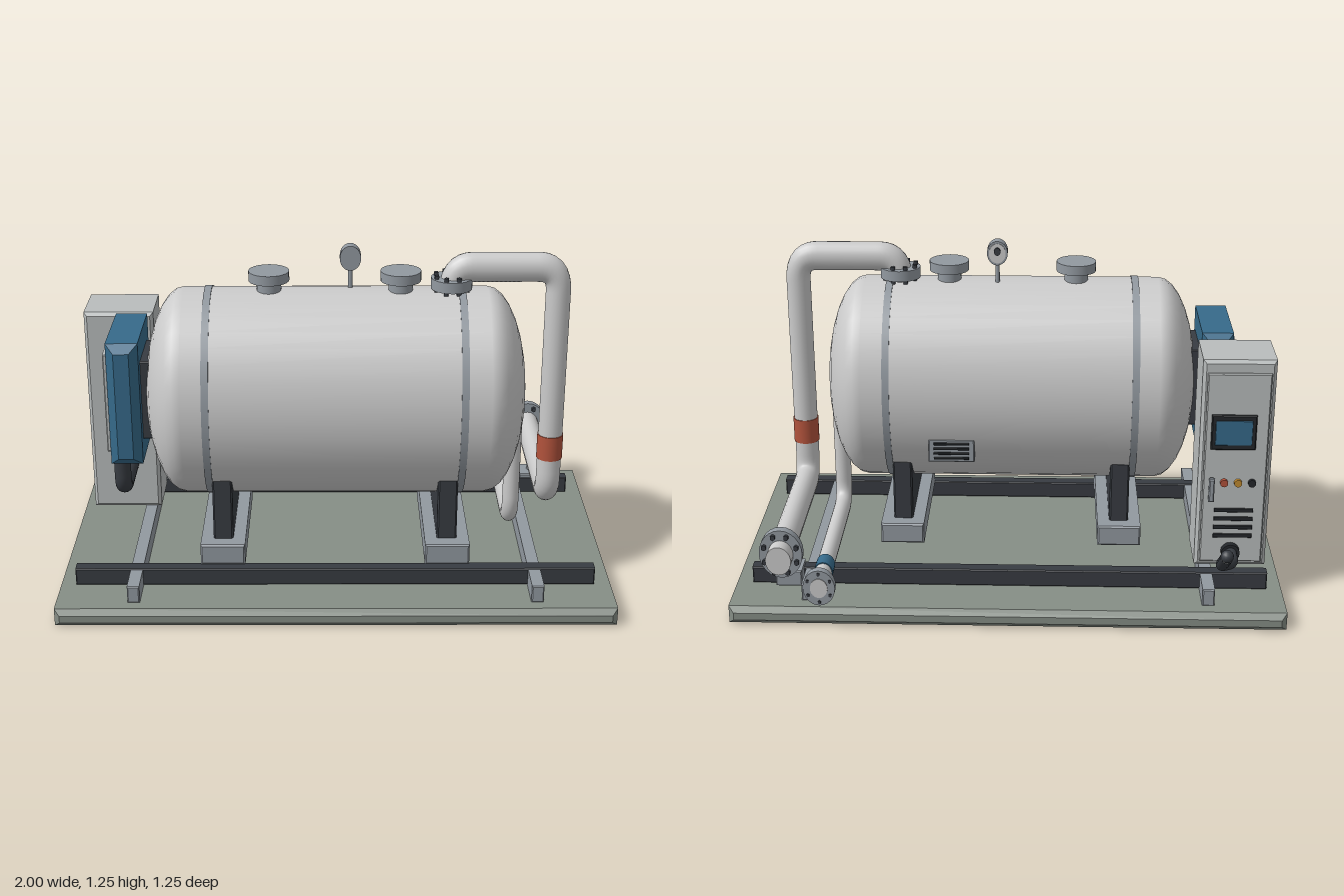
import * as THREE from 'three';

const mat = (color) => new THREE.MeshStandardMaterial({ color });
const M = {
  shell: mat(0xcccccc), steel: mat(0x9299a0), dark: mat(0x383c42), slab: mat(0x868e86),
  cabinet: mat(0xb9bdbd), blue: mat(0x366a8a), orange: mat(0xb2533c), amber: mat(0xc08a30), black: mat(0x24272b),
};
const K = 1.2;            // vertical stretch shared by all round fittings
const TZ = 0.115, TY = 0.7075, RY = 0.3875, RZ = 0.315; // tank axis and radii

export function createModel() {
  const root = new THREE.Group();

  const add = (name, geo, material, x = 0, y = 0, z = 0, parent = root) => {
    const mesh = new THREE.Mesh(geo, material);
    mesh.name = name;
    mesh.position.set(x, y, z);
    parent.add(mesh);
    return mesh;
  };

  // Chamfered box given by its limits
  const box = (name, material, x0, x1, y0, y1, z0, z1, b = 0.004) => {
    const w = (x1 - x0) / 2 - b, h = (y1 - y0) / 2 - b, d = z1 - z0 - 2 * b;
    const s = new THREE.Shape([[-w, -h], [w, -h], [w, h], [-w, h]].map((p) => new THREE.Vector2(...p)));
    const geo = new THREE.ExtrudeGeometry(s, { depth: d, bevelSize: b, bevelThickness: b, bevelSegments: 1 });
    geo.translate(0, 0, -d / 2);
    return add(name, geo, material, (x0 + x1) / 2, (y0 + y1) / 2, (z0 + z1) / 2);
  };

  // Cylinder along an axis, stretched vertically unless k = 1
  const rod = (name, material, r, len, axis, x, y, z, k = K, sides = 24) => {
    const geo = new THREE.CylinderGeometry(r, r, len, sides);
    if (axis === 'x') geo.rotateZ(Math.PI / 2);
    if (axis === 'z') geo.rotateX(Math.PI / 2);
    if (axis !== 'y') geo.scale(1, k, 1);
    return add(name, geo, material, x, y, z);
  };

  // Tube through corner points with rounded bends
  const pipe = (name, material, pts, r, bend, k = K) => {
    const v = pts.map(([x, y, z]) => new THREE.Vector3(x, y / k, z));
    const path = new THREE.CurvePath();
    let from = v[0];
    for (let i = 1; i < v.length - 1; i++) {
      const a = v[i].clone().add(v[i - 1].clone().sub(v[i]).setLength(bend));
      const b = v[i].clone().add(v[i + 1].clone().sub(v[i]).setLength(bend));
      path.add(new THREE.LineCurve3(from, a));
      path.add(new THREE.QuadraticBezierCurve3(a, v[i], b));
      from = b;
    }
    path.add(new THREE.LineCurve3(from, v[v.length - 1]));
    return add(name, new THREE.TubeGeometry(path, 120, r, 20).scale(1, k, 1), material);
  };

  // Flange disc with a ring of bolts
  const flange = (name, r, len, axis, x, y, z, boltR, boltLen, n = 8) => {
    rod(name, M.steel, r, len, axis, x, y, z);
    for (let i = 0; i < n; i++) {
      const a = ((i + 0.5) / n) * Math.PI * 2, u = Math.cos(a) * r * 0.8, w = Math.sin(a) * r * 0.8;
      if (axis === 'y') rod(name + 'Bolt', M.dark, boltR, boltLen, 'y', x + u, y, z + w, 1, 6);
      else rod(name + 'Bolt', M.dark, boltR, boltLen, 'z', x + u, y + w * K, z, K, 6);
    }
  };

  // Slab and skid frame
  box('baseSlab', M.slab, -1, 1, 0, 0.067, -0.568, 0.62, 0.02);
  for (const z of [0.41, -0.355]) box('longRail', M.dark, -0.945, 0.94, 0.07, 0.135, z - 0.025, z + 0.025);
  for (const x of [-0.722, 0.719]) box('crossRail', M.steel, x - 0.022, x + 0.022, 0.067, 0.132, -0.505, 0.56);

  // Saddles
  for (const x of [-0.411, 0.405]) {
    box('saddleFoot', M.steel, x - 0.081, x + 0.081, 0.134, 0.213, -0.17, 0.4, 0.006);
    box('saddleColumn', M.dark, x - 0.036, x + 0.036, 0.2, 0.45, -0.115, 0.345, 0.006);
  }

  // Tank with domed ends
  const profile = [];
  for (const s of [-1, 1]) {
    for (let i = 0; i <= 8; i++) {
      const a = ((s < 0 ? i : 8 - i) / 8) * Math.PI / 2;
      profile.push(new THREE.Vector2(Math.max(Math.sin(a), 1e-4), s * (0.545 + 0.146 * Math.cos(a))));
    }
  }
  const across = (geo) => geo.rotateZ(-Math.PI / 2).scale(1, RY, RZ);
  add('tank', across(new THREE.LatheGeometry(profile, 36)), M.shell, 0, TY, TZ);
  for (const x of [-0.457, 0.451]) {
    add('tankStrap', across(new THREE.CylinderGeometry(1.01, 1.01, 0.026, 36)), M.steel, x, TY, TZ);
  }

  // Vent plate on the back of the tank
  box('tankPlate', M.steel, 0.13, 0.3, 0.475, 0.565, -0.178, -0.13);
  for (let i = 0; i < 4; i++) box('plateSlot', M.black, 0.15, 0.28, 0.488 + i * 0.019, 0.496 + i * 0.019, -0.185, -0.175, 0.001);

  // Manholes
  for (const x of [-0.239, 0.232]) {
    rod('manholeNeck', M.steel, 0.044, 0.08, 'y', x, 1.1, TZ);
    rod('manholeLid', M.steel, 0.073, 0.036, 'y', x, 1.147, TZ);
  }

  // Pressure gauge
  rod('gaugeStem', M.steel, 0.008, 0.12, 'y', 0.052, 1.14, 0.085, 1, 12);
  rod('gaugeBody', M.steel, 0.038, 0.042, 'z', 0.052, 1.206, 0.085);
  rod('gaugeFace', M.shell, 0.031, 0.004, 'z', 0.052, 1.206, 0.063);
  rod('gaugeHub', M.dark, 0.012, 0.012, 'z', 0.052, 1.215, 0.058);

  // Outlet pipe: over the end of the tank, down and out at the back
  const PX = 0.797, PY = 0.285;
  flange('outletFlange', 0.074, 0.04, 'y', 0.414, 1.12, TZ, 0.009, 0.065);
  pipe('outletPipe', M.shell, [[0.414, 1.06, TZ], [0.414, 1.178, TZ], [PX, 1.178, TZ], [PX, PY, TZ], [PX, PY, -0.61]], 0.045, 0.075);
  rod('outletBand', M.orange, 0.048, 0.095, 'y', PX, 0.483, TZ);
  rod('outletEnd', M.shell, 0.045, 0.05, 'z', PX, PY, -0.595);
  flange('outletEndFlange', 0.077, 0.032, 'z', PX, PY, -0.55, 0.009, 0.056);

  // Drain pipe
  const DX = 0.66, DY = 0.178;
  pipe('drainPipe', M.shell, [[DX, 0.6, TZ], [DX, DY, TZ], [DX, DY, -0.6]], 0.031, 0.08);
  rod('drainBand', M.blue, 0.034, 0.068, 'z', DX, DY, -0.464);
  flange('drainFlange', 0.057, 0.028, 'z', DX, DY, -0.6, 0.006, 0.036, 6);
  rod('drainEnd', M.shell, 0.031, 0.034, 'z', DX, DY, -0.6);

  // Pipe support
  box('supportFoot', M.steel, PX - 0.048, PX + 0.048, 0.088, 0.15, -0.435, -0.335);
  rod('supportPost', M.steel, 0.014, 0.14, 'y', PX, 0.19, -0.387, 1, 12);

  // Control cabinet, door facing the back
  box('cabinet', M.cabinet, -0.943, -0.683, 0.132, 0.935, -0.312, -0.08, 0.012);
  box('cabinetDoor', M.cabinet, -0.925, -0.7, 0.155, 0.89, -0.326, -0.31);
  box('screenFrame', M.black, -0.88, -0.72, 0.605, 0.738, -0.338, -0.324);
  box('screen', M.blue, -0.865, -0.735, 0.625, 0.718, -0.341, -0.335, 0.001);
  box('doorHandle', M.steel, -0.74, -0.72, 0.405, 0.495, -0.352, -0.334);
  for (const y of [0.415, 0.485]) box('handleMount', M.dark, -0.736, -0.724, y - 0.008, y + 0.008, -0.338, -0.324, 0.001);
  [M.orange, M.amber, M.black].forEach((m, i) => rod('doorButton', m, 0.014, 0.016, 'z', -0.775 - i * 0.05, 0.475, -0.332, 1, 16));
  for (let i = 0; i < 4; i++) box('doorVent', M.black, -0.885, -0.745, 0.255 + i * 0.034, 0.27 + i * 0.034, -0.331, -0.324, 0.001);

  // Burner housing on the tank end, with side panel and badge plate
  box('burnerHousing', M.blue, -0.815, -0.7, 0.48, 0.945, -0.08, 0.3, 0.03);
  box('burnerMount', M.dark, -0.705, -0.66, 0.56, 0.86, 0.0, 0.23);
  box('burnerPanel', M.cabinet, -0.828, -0.81, 0.525, 0.9, -0.045, 0.265);
  box('panelPlate', M.amber, -0.835, -0.825, 0.66, 0.76, 0.06, 0.15, 0.002);

  // Cable hoses
  pipe('burnerHose', M.dark, [[-0.795, 0.54, 0.14], [-0.795, 0.315, 0.14], [-0.795, 0.315, -0.1]], 0.031, 0.06, 1);
  pipe('cabinetHose', M.dark, [[-0.81, 0.2, -0.3], [-0.81, 0.2, -0.42], [-0.767, 0.21, -0.46], [-0.767, 0.32, -0.61]], 0.023, 0.025, 1);
  add('hoseTip', new THREE.SphereGeometry(0.023, 16, 10), M.dark, -0.767, 0.32, -0.605);
  rod('hoseGland', M.black, 0.034, 0.03, 'z', -0.81, 0.2, -0.335, 1, 16);

  return root;
}
